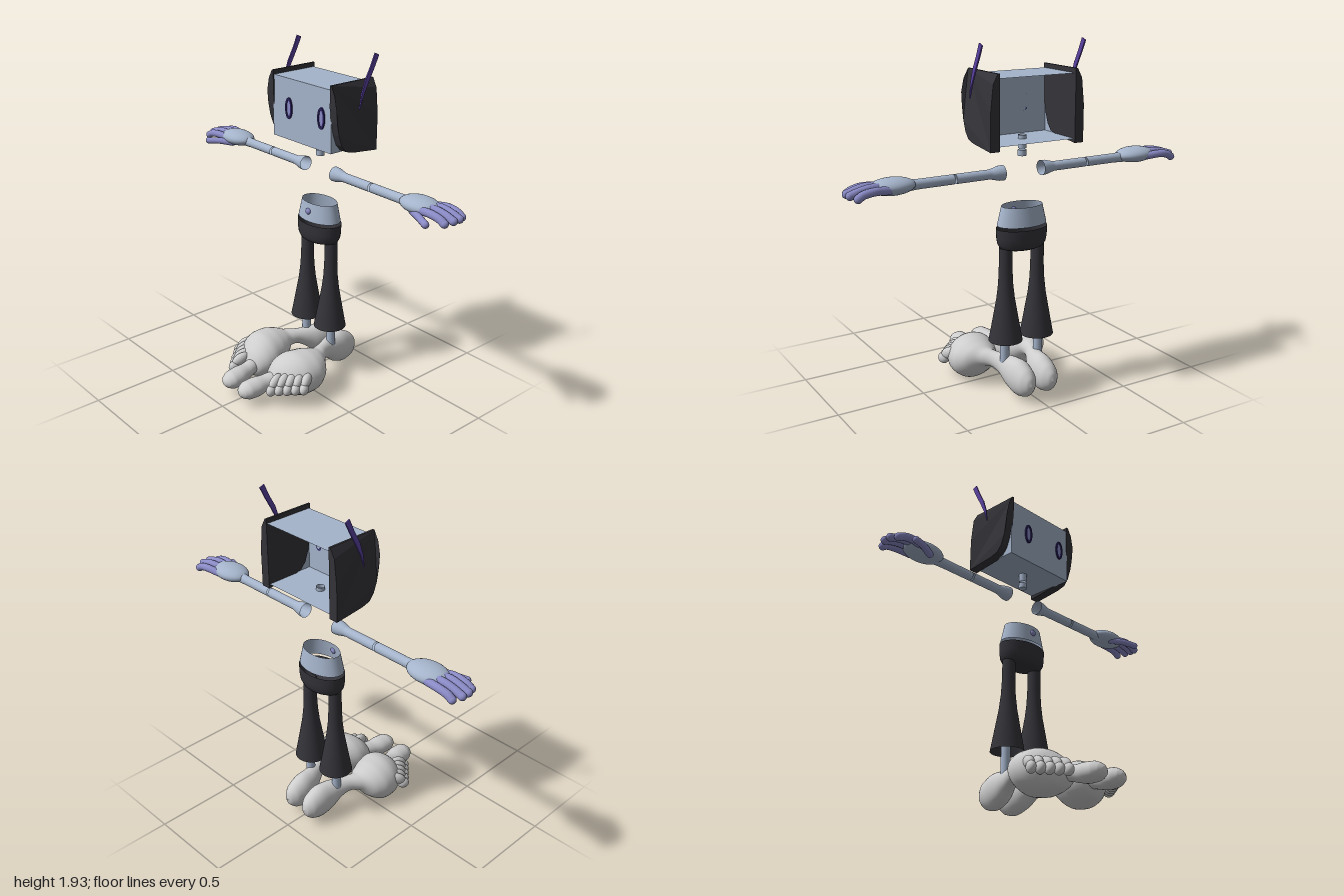
import * as THREE from 'three';

const mat = (name, color) => {
  const m = new THREE.MeshStandardMaterial({ color, side: THREE.DoubleSide });
  m.name = name;
  return m;
};
const V = (x, y, z) => new THREE.Vector3(x, y, z);
const CZ = -0.213; // depth of the body axis

export function createModel() {
  const skin = mat('blueGrey', 0xa5b4cb);
  const purple = mat('fingerPurple', 0x8a8ac6);
  const dark = mat('charcoal', 0x343339);
  const footGrey = mat('footGrey', 0xcdcdcd);
  const navy = mat('darkNavy', 0x2a2160);
  const violet = mat('antennaViolet', 0x5c42a4);

  const root = new THREE.Group();
  root.name = 'figure';

  const add = (parent, name, geo, material, x = 0, y = 0, z = 0) => {
    const m = new THREE.Mesh(geo, material);
    m.name = name;
    m.position.set(x, y, z);
    parent.add(m);
    return m;
  };
  const ball = (parent, name, material, c, r) => {
    const m = add(parent, name, new THREE.SphereGeometry(1, 28, 18), material, ...c);
    m.scale.set(...r);
    return m;
  };
  const lathe = (pts) => new THREE.LatheGeometry(pts.map((p) => new THREE.Vector2(...p)), 36);
  // Side-view outline given as [z, y], extruded along x
  const sidePlate = (pts, x0, depth) => {
    const s = new THREE.Shape(pts.map(([z, y]) => new THREE.Vector2(-z, y)));
    const g = new THREE.ExtrudeGeometry(s, { depth, bevelEnabled: false });
    return g.rotateY(Math.PI / 2).translate(x0, 0, 0);
  };
  // Smooth loft along z through ellipses [z, cx, cy, rx, ry]
  const loft = (sections) => {
    const mid = new THREE.CatmullRomCurve3(sections.map((s) => V(s[1], s[2], s[0])));
    const rad = new THREE.CatmullRomCurve3(sections.map((s) => V(s[3], s[4], 0)));
    const g = new THREE.CylinderGeometry(1, 1, 1, 32, 56, true).rotateX(Math.PI / 2);
    const p = g.attributes.position;
    for (let i = 0; i < p.count; i++) {
      const t = Math.min(1, Math.max(0, p.getZ(i) + 0.5));
      const c = mid.getPoint(t), r = rad.getPoint(t);
      p.setXYZ(i, c.x + p.getX(i) * r.x, c.y + p.getY(i) * r.y, c.z);
    }
    g.computeVertexNormals();
    return g;
  };

  // Head: box with an open back
  const head = new THREE.Group();
  head.name = 'head';
  root.add(head);
  const shell = new THREE.BoxGeometry(0.468, 0.34, 0.285);
  shell.setIndex(Array.from(shell.index.array).slice(0, 30));
  shell.clearGroups();
  add(head, 'headShell', shell, skin, 0, 1.595, -0.2175);

  // Eyes: pupil plate inside a dark oval ring
  for (const x of [-0.1, 0.16]) {
    const ring = new THREE.Shape().absellipse(0, 0, 0.027, 0.059, 0, Math.PI * 2);
    ring.holes.push(new THREE.Path().absellipse(0, 0, 0.016, 0.044, 0, Math.PI * 2));
    add(head, 'eyeRing', new THREE.ExtrudeGeometry(ring, { depth: 0.008, bevelEnabled: false }),
      navy, x, 1.602, -0.075);
    const pupil = new THREE.Shape().absellipse(0, 0, 0.018, 0.046, 0, Math.PI * 2);
    add(head, 'eye', new THREE.ShapeGeometry(pupil), purple, x, 1.602, -0.071);
  }

  // Neck pieces
  add(root, 'neckUpper', new THREE.CylinderGeometry(0.023, 0.023, 0.07, 24, 1, true), skin, 0, 1.41, CZ);
  add(root, 'neckLower', new THREE.CylinderGeometry(0.023, 0.023, 0.032, 24), skin, 0, 1.35, CZ);

  // Waist, navel and waistband
  const waist = add(root, 'waist', lathe([[0.145, 0.965], [0.12, 1.07]]), skin, 0, 0, CZ);
  waist.scale.z = 0.64;
  ball(root, 'navel', purple, [0, 1.022, -0.127], [0.018, 0.018, 0.012]);
  const band = add(root, 'waistband', lathe([[0.001, 0.83], [0.1, 0.832], [0.128, 0.842], [0.142, 0.865],
    [0.148, 0.9], [0.149, 0.95]]), dark, 0, 0, CZ);
  band.scale.z = 0.66;

  // Paired parts, built on +x and mirrored
  for (const side of [1, -1]) {
    const half = new THREE.Group();
    half.name = side > 0 ? 'leftSide' : 'rightSide';
    half.scale.x = side;
    root.add(half);

    // Side panel of the head, its outer face leaning in at the top
    const panel = sidePlate([[-0.068, 1.79], [-0.068, 1.74], [-0.069, 1.67], [-0.075, 1.6], [-0.088, 1.53],
      [-0.11, 1.47], [-0.14, 1.435], [-0.19, 1.421], [-0.365, 1.402], [-0.365, 1.6], [-0.365, 1.74],
      [-0.365, 1.79]], 0.227, 0.053);
    const pp = panel.attributes.position;
    for (let i = 0; i < pp.count; i++) {
      if (pp.getX(i) < 0.25) continue;
      const y = pp.getY(i);
      pp.setX(i, y > 1.77 ? 0.238 : y > 1.7 ? 0.265 : 0.28);
    }
    panel.computeVertexNormals();
    add(half, 'headPanel', panel, dark);

    // Antenna blade
    add(half, 'antenna', sidePlate([[-0.205, 1.655], [-0.215, 1.73], [-0.24, 1.805], [-0.275, 1.87],
      [-0.305, 1.937], [-0.332, 1.925], [-0.3, 1.86], [-0.262, 1.79], [-0.23, 1.725]], 0.301, 0.008), violet);

    // Arm: hollow cuff, upper and lower tubes
    const arm = new THREE.Group();
    arm.name = 'arm';
    half.add(arm);
    const limb = (name, pts) => {
      add(arm, name, lathe(pts), skin, 0, 1.255, CZ).rotation.z = -Math.PI / 2;
    };
    limb('upperArm', [[0.041, 0.118], [0.039, 0.145], [0.029, 0.185], [0.026, 0.2], [0.026, 0.4]]);
    limb('forearm', [[0.026, 0.41], [0.026, 0.6], [0.029, 0.67]]);
    ball(arm, 'palm', skin, [0.747, 1.262, CZ], [0.122, 0.044, 0.082]);

    // Fingers and thumb: tubes with rounded ends
    const digit = (name, pts, r) => {
      const path = new THREE.CatmullRomCurve3(pts.map((p) => V(...p)));
      add(arm, name, new THREE.TubeGeometry(path, 16, r, 14), purple);
      for (const p of [pts[0], pts[pts.length - 1]]) ball(arm, name + 'Tip', purple, p, [r, r, r]);
    };
    [[-0.285, 0.955], [-0.24, 0.978], [-0.196, 0.978], [-0.152, 0.96]].forEach(([z, end], i) => {
      const y = 1.25 - (i === 0 || i === 3 ? 0.008 : 0);
      const root0 = CZ + (z - CZ) * 0.8;
      digit('finger', [[0.79, y + 0.015, root0], [0.87, y + 0.022, z], [0.93, y + 0.012, z], [end, y - 0.003, z]], 0.0215);
    });
    digit('thumb', [[0.74, 1.236, -0.165], [0.82, 1.238, -0.125], [0.89, 1.229, -0.095]], 0.019);

    // Flared trouser leg and ankle
    add(half, 'trouserLeg', lathe([[0.093, 0.32], [0.08, 0.39], [0.065, 0.475], [0.05, 0.56], [0.041, 0.64],
      [0.037, 0.72], [0.036, 0.845]]), dark, 0.1, 0, CZ);
    add(half, 'ankle', new THREE.CylinderGeometry(0.025, 0.026, 0.25, 24), skin, 0.108, 0.3, CZ - 0.003);

    // Foot: heel, arch and ball in one loft
    const foot = new THREE.Group();
    foot.name = 'foot';
    half.add(foot);
    add(foot, 'footBody', loft([
      [-0.435, 0.07, 0.12, 0.001, 0.001], [-0.425, 0.07, 0.12, 0.027, 0.04], [-0.39, 0.07, 0.122, 0.055, 0.077],
      [-0.32, 0.072, 0.13, 0.067, 0.1], [-0.25, 0.08, 0.143, 0.062, 0.086], [-0.2, 0.093, 0.162, 0.05, 0.062],
      [-0.14, 0.118, 0.178, 0.044, 0.046], [-0.085, 0.145, 0.175, 0.06, 0.052], [-0.04, 0.16, 0.155, 0.105, 0.088],
      [0.02, 0.16, 0.14, 0.137, 0.118], [0.09, 0.148, 0.135, 0.146, 0.125], [0.15, 0.135, 0.13, 0.13, 0.109],
      [0.2, 0.122, 0.12, 0.092, 0.076], [0.23, 0.115, 0.115, 0.04, 0.03], [0.235, 0.115, 0.115, 0.001, 0.001],
    ]), footGrey);

    // Big toe, narrow at the root and full at the tip
    add(foot, 'bigToe', loft([
      [0.16, 0.1, 0.12, 0.03, 0.035], [0.22, 0.092, 0.118, 0.045, 0.042], [0.27, 0.083, 0.108, 0.049, 0.046],
      [0.33, 0.076, 0.102, 0.06, 0.054], [0.38, 0.073, 0.1, 0.058, 0.051], [0.415, 0.072, 0.099, 0.04, 0.034],
      [0.43, 0.072, 0.099, 0.017, 0.015], [0.433, 0.072, 0.099, 0.001, 0.001],
    ]), footGrey);

    // Small toes fanned round the outer front of the ball
    for (let i = 0; i < 5; i++) {
      const t = i / 4;
      const toe = new THREE.Group();
      toe.name = 'smallToe';
      toe.position.set(0.165 + 0.118 * t, 0.125 + 0.012 * t, 0.265 - 0.132 * t);
      toe.rotation.set(0.42, 0.25 + 0.25 * t, 0, 'YXZ');
      foot.add(toe);
      ball(toe, 'toeBase', footGrey, [0, 0.01, -0.025], [0.027, 0.034, 0.055]);
      ball(toe, 'toeTip', footGrey, [0, -0.008, 0.025], [0.026, 0.033, 0.036]);
    }
  }
  return root;
}
